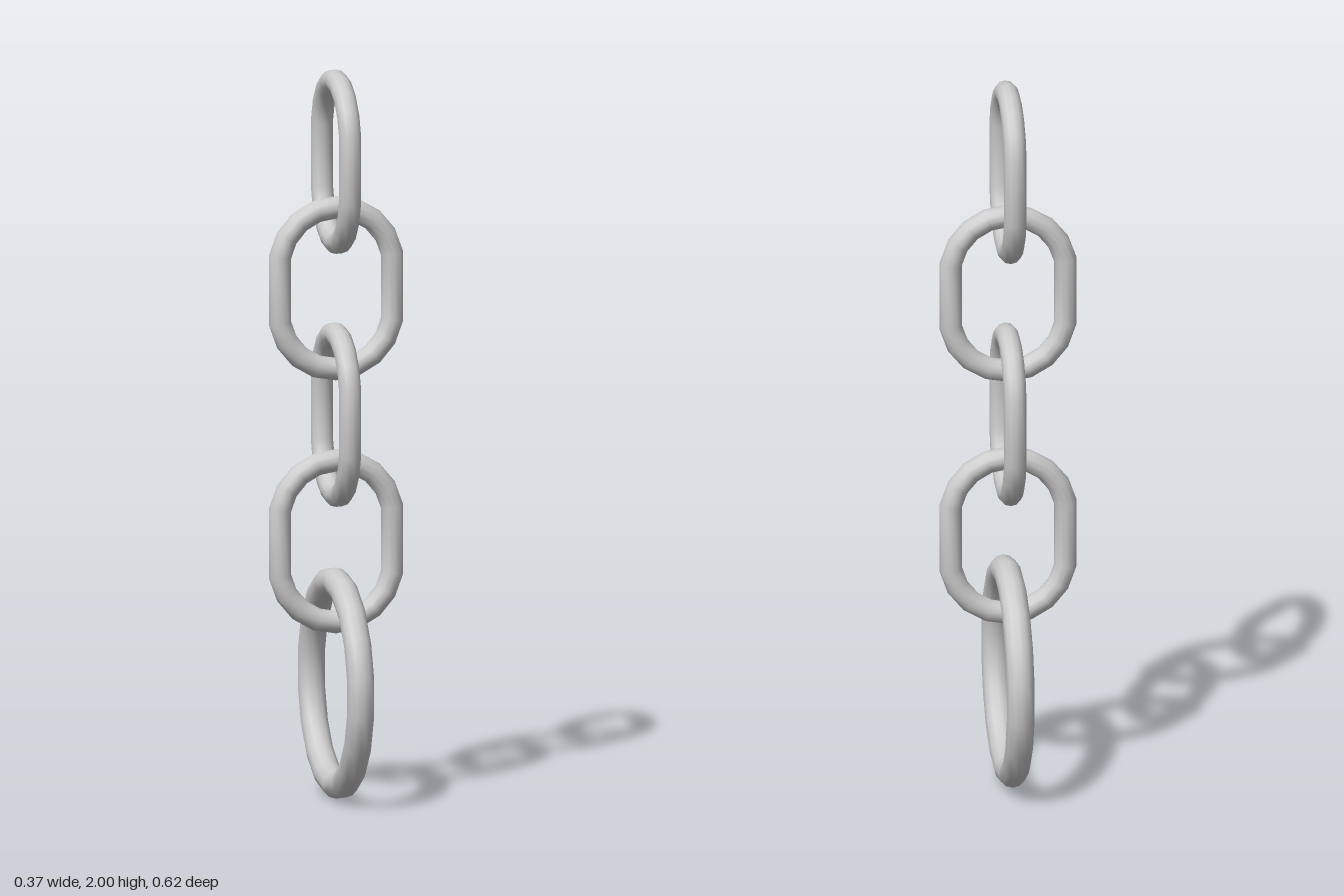
import * as THREE from 'three';

const material = new THREE.MeshStandardMaterial({ color: 0xcccccc });

// Ring of round bar standing in the XY plane; its halves are pulled apart by `stretch`.
function makeRing(name, radius, bar, stretch, y, sideways) {
  const geometry = new THREE.TorusGeometry(radius, bar, 12, 18);
  geometry.rotateZ(Math.PI / 2);
  const p = geometry.attributes.position;
  for (let i = 0; i < p.count; i++) {
    p.setY(i, p.getY(i) + Math.sign(p.getY(i)) * stretch);
  }
  const mesh = new THREE.Mesh(geometry, material);
  mesh.name = name;
  mesh.position.y = y;
  if (sideways) mesh.rotation.y = Math.PI / 2;
  return mesh;
}

export function createModel() {
  const group = new THREE.Group();
  group.name = 'chain';

  // Four oval links, each turned a quarter from the one above
  for (let i = 0; i < 4; i++) {
    group.add(makeRing(`chainLink${i + 1}`, 0.159, 0.031, 0.063, 1.747 - 0.347 * i, i % 2 === 0));
  }

  // Large round ring at the bottom
  group.add(makeRing('endRing', 0.279, 0.038, 0, 0.317, true));
  return group;
}
